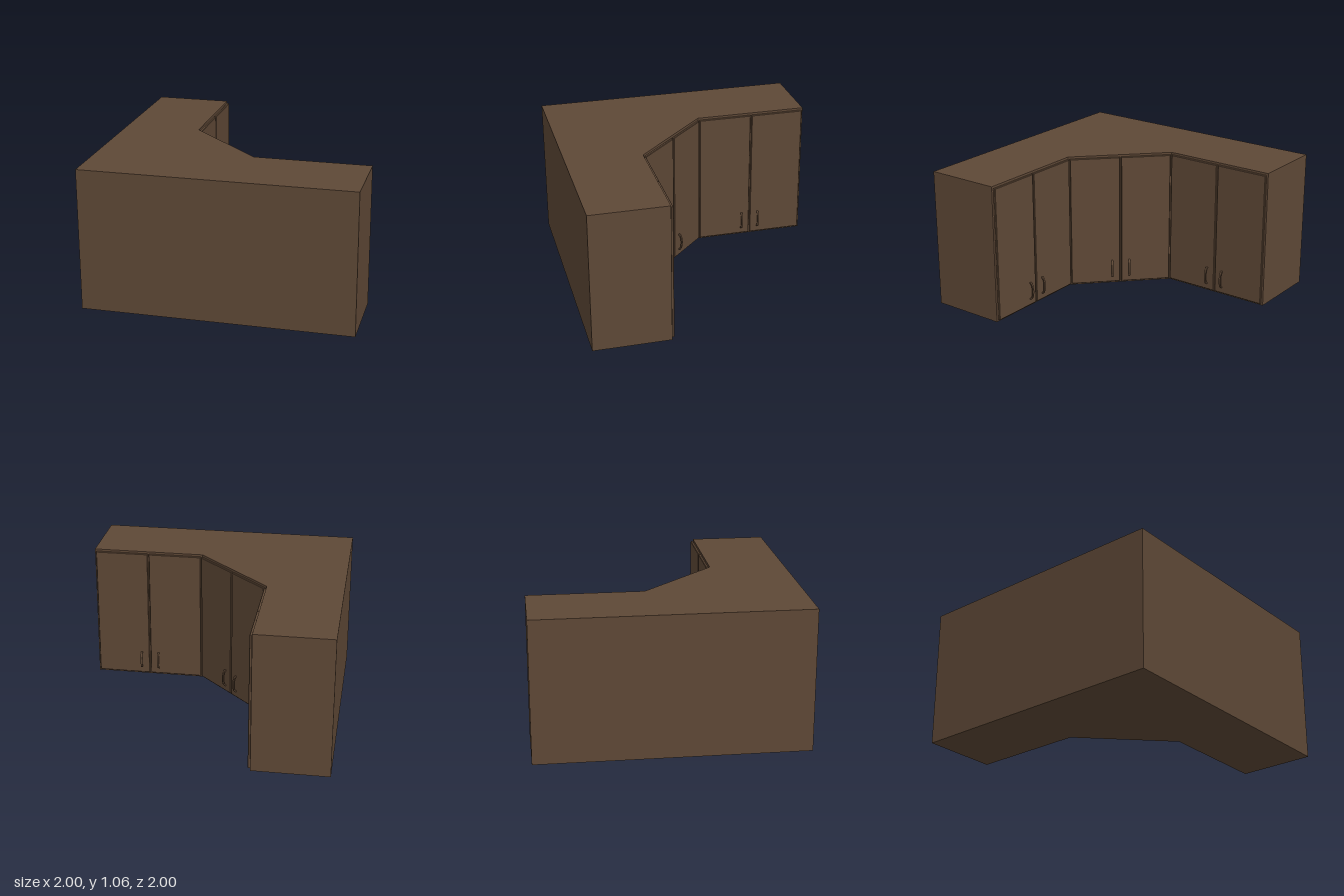
import * as THREE from 'three';

const HEIGHT = 1.06;

// Plan of the corner cabinet as [x, z]
const PLAN = [[-1, -1], [-0.43, -1], [-0.43, -0.14], [0.14, 0.425], [1, 0.425], [1, 1], [-1, 1]];

function createCarcass(material) {
  const shape = new THREE.Shape(PLAN.map(([x, z]) => new THREE.Vector2(x, -z)));
  const geometry = new THREE.ExtrudeGeometry(shape, { depth: HEIGHT, bevelEnabled: false });
  geometry.rotateX(-Math.PI / 2);
  const mesh = new THREE.Mesh(geometry, material);
  mesh.name = 'carcass';
  return mesh;
}

// Door panel with a small chamfer round its front, back on z = 0
function createDoorGeometry(width, height) {
  const bevel = 0.004;
  const w = width / 2 - bevel, h = height / 2 - bevel;
  const shape = new THREE.Shape([[-w, -h], [w, -h], [w, h], [-w, h]].map(p => new THREE.Vector2(...p)));
  const geometry = new THREE.ExtrudeGeometry(shape, {
    depth: 0.012, bevelSize: bevel, bevelThickness: bevel, bevelSegments: 1,
  });
  return geometry.translate(0, 0, bevel);
}

// Bowed strap handle: an arched side profile given a little width
function createHandleGeometry() {
  const half = 0.07, width = 0.014, steps = 14;
  const arc = (h, reach) => Array.from({ length: steps + 1 }, (_, i) => {
    const a = -Math.PI / 2 + (i / steps) * Math.PI;
    return new THREE.Vector2(reach * Math.cos(a) ** 0.8, h * Math.sin(a));
  });
  const shape = new THREE.Shape([...arc(half, 0.032), ...arc(half - 0.011, 0.022).reverse()]);
  const geometry = new THREE.ExtrudeGeometry(shape, { depth: width, bevelEnabled: false });
  return geometry.translate(0, 0, -width / 2).rotateY(-Math.PI / 2);
}

// A pair of doors covering the wall between two plan corners
function createDoorPair(name, [x0, z0], [x1, z1], material) {
  const group = new THREE.Group();
  group.name = name;
  const dx = x1 - x0, dz = z1 - z0;
  const length = Math.hypot(dx, dz);
  group.position.set((x0 + x1) / 2, HEIGHT / 2, (z0 + z1) / 2);
  group.rotation.y = Math.atan2(dz, -dx);

  const margin = 0.012, gap = 0.01;
  const width = length / 2 - margin - gap / 2;
  const doorGeometry = createDoorGeometry(width, HEIGHT - 0.03);
  const handleGeometry = createHandleGeometry();
  for (const side of [-1, 1]) {
    const label = side < 0 ? 'First' : 'Second';
    const door = new THREE.Mesh(doorGeometry, material);
    door.name = 'door' + label;
    door.position.x = side * (gap / 2 + width / 2);
    const handle = new THREE.Mesh(handleGeometry, material);
    handle.name = 'handle' + label;
    handle.position.set(side * 0.068, 0.13 - HEIGHT / 2, 0.019);
    group.add(door, handle);
  }
  return group;
}

export function createModel() {
  const brown = new THREE.MeshStandardMaterial({ color: 0x5e4836 });
  brown.name = 'brownWood';

  const model = new THREE.Group();
  model.name = 'cornerCabinet';
  model.add(createCarcass(brown));
  ['rightWingDoors', 'cornerDoors', 'leftWingDoors'].forEach((name, i) => {
    model.add(createDoorPair(name, PLAN[i + 1], PLAN[i + 2], brown));
  });
  return model;
}
